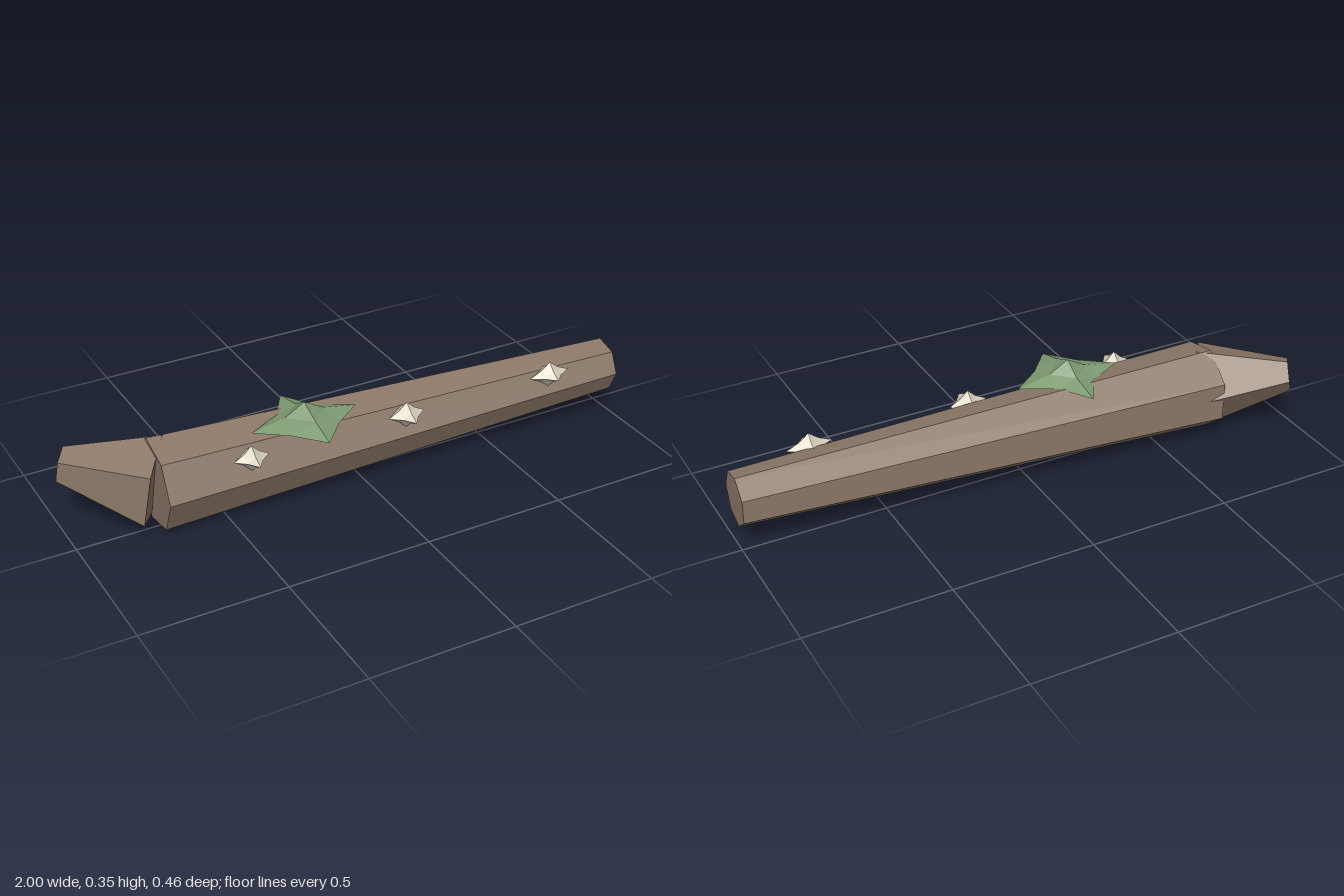
import * as THREE from 'three';

const material = (color) => new THREE.MeshStandardMaterial({ color, flatShading: true });

// Tapered wooden limb between two points, with one corner pointing sideways
function limb(name, from, to, r0, r1, sides, mat) {
  const a = new THREE.Vector3(...from), b = new THREE.Vector3(...to);
  const dir = b.clone().sub(a);
  const geo = new THREE.CylinderGeometry(r1, r0, dir.length(), sides);
  dir.normalize();
  const side = new THREE.Vector3().crossVectors(dir, new THREE.Vector3(0, 1, 0)).normalize();
  const other = new THREE.Vector3().crossVectors(dir, side);
  geo.applyMatrix4(new THREE.Matrix4().makeBasis(other, dir, side));
  const mesh = new THREE.Mesh(geo, mat);
  mesh.name = name;
  mesh.position.copy(a).add(b).multiplyScalar(0.5);
  return mesh;
}

// Six-pointed star lump: an octahedron whose edge midpoints are pulled inwards
function starLump(name, centre, radii, pinch, mat) {
  const geo = new THREE.OctahedronGeometry(1, 1);
  const pos = geo.attributes.position;
  const v = new THREE.Vector3();
  for (let i = 0; i < pos.count; i++) {
    v.fromBufferAttribute(pos, i);
    const isTip = Math.max(Math.abs(v.x), Math.abs(v.y), Math.abs(v.z)) > 0.9;
    if (!isTip) v.multiplyScalar(pinch(v) * Math.SQRT2);
    pos.setXYZ(i, v.x, v.y, v.z);
  }
  geo.scale(...radii);
  geo.computeVertexNormals();
  const mesh = new THREE.Mesh(geo, mat);
  mesh.name = name;
  mesh.position.set(...centre);
  return mesh;
}

export function createModel() {
  const group = new THREE.Group();
  group.name = 'fallenLog';
  const wood = material(0x8c7868);
  const moss = material(0x7d9a72);
  const cap = material(0xd8cfbd);

  // Seven-sided trunk and five-sided broken stub at its thick end
  group.add(limb('trunk', [-0.72, 0.153, -0.021], [0.995, 0.17, 0.041], 0.155, 0.093, 7, wood));
  group.add(limb('brokenStub', [-0.714, 0.16, -0.018], [-0.967, 0.21, -0.185], 0.155, 0.06, 5, wood));

  // Moss patch on top, fuller towards the front
  group.add(starLump('mossPatch', [-0.21, 0.286, 0.052], [0.19, 0.063, 0.175],
    (v) => (v.z > 0.1 ? 0.45 : 0.37), moss));

  // Row of shelf fungi along the front
  const fungi = [[-0.435, 0.062, 0.065], [0.135, 0.068, 0.068], [0.707, 0.08, 0.056]];
  fungi.forEach(([x, rx, rz], i) => {
    group.add(starLump(`fungus${i + 1}`, [x, 0.24, 0.121], [rx, 0.047, rz], () => 0.43, cap));
  });
  return group;
}
